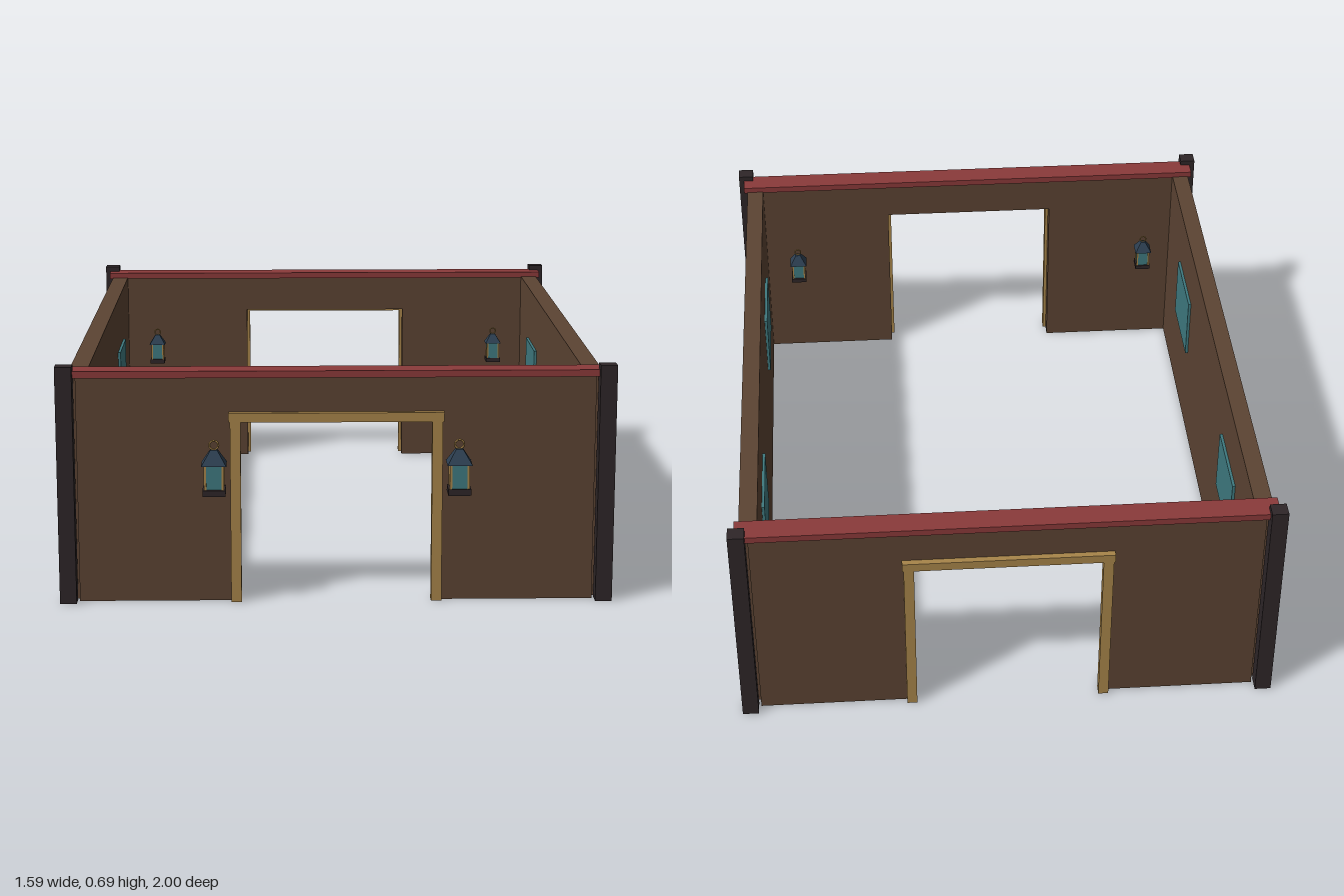
import * as THREE from 'three';

const mat = (name, color, flatShading = false) => {
  const m = new THREE.MeshStandardMaterial({ color, flatShading });
  m.name = name;
  return m;
};

export function createModel() {
  const wood = mat('brown wood', 0x5c4433);
  const dark = mat('dark timber', 0x2e2628);
  const red = mat('red trim', 0x8b3a3a);
  const gold = mat('gold trim', 0xa8854a);
  const glass = mat('teal glass', 0x3f7a80);
  const slate = mat('slate blue', 0x2c3e50, true);

  const root = new THREE.Group();
  root.name = 'walledHall';
  const hall = new THREE.Group();
  hall.name = 'hall';
  hall.position.z = -0.026; // the front lanterns push the walls back a little
  root.add(hall);

  const add = (parent, name, geo, material, x, y, z) => {
    const m = new THREE.Mesh(geo, material);
    m.name = name;
    m.position.set(x, y, z);
    parent.add(m);
    return m;
  };
  const box = (parent, name, material, w, h, d, x, y, z) =>
    add(parent, name, new THREE.BoxGeometry(w, h, d), material, x, y, z);

  const T = 0.053, H = 0.66, WX = 0.74, WZ = 0.917;

  // End wall with a doorway cut up from the floor
  const wallShape = new THREE.Shape();
  [[-WX, 0], [-0.283, 0], [-0.283, 0.54], [0.283, 0.54], [0.283, 0], [WX, 0], [WX, H], [-WX, H]]
    .forEach(([x, y], i) => (i ? wallShape.lineTo(x, y) : wallShape.moveTo(x, y)));
  wallShape.closePath();
  const endGeo = new THREE.ExtrudeGeometry(wallShape, { depth: T, bevelEnabled: false });

  for (const front of [true, false]) {
    const end = new THREE.Group();
    end.name = front ? 'frontEnd' : 'backEnd';
    end.rotation.y = front ? 0 : Math.PI;
    hall.add(end);
    add(end, 'endWall', endGeo, wood, 0, 0, WZ - T / 2);
    box(end, 'capBeam', red, 1.556, 0.02, 0.074, 0, 0.667, WZ);
    // Door frame on the outer face
    for (const s of [-1, 1]) box(end, 'doorJamb', gold, 0.03, 0.53, 0.03, s * 0.288, 0.265, 0.946);
    box(end, 'doorLintel', gold, 0.614, 0.027, 0.032, 0, 0.543, 0.946);
    // Corner posts
    for (const s of [-1, 1]) box(end, 'cornerPost', dark, 0.048, 0.693, 0.046, s * 0.771, 0.3465, 0.951);
  }

  // Side walls with windows and thin gold rails
  for (const s of [-1, 1]) {
    const side = new THREE.Group();
    side.name = s > 0 ? 'leftSide' : 'rightSide';
    hall.add(side);
    box(side, 'sideWall', wood, T, H, WZ * 2, s * WX, H / 2, 0);
    for (const y of [0.118, 0.232, 0.531])
      box(side, 'rail', gold, 0.006, 0.008, 1.804, s * 0.767, y, 0);
    for (const z of [0.482, -0.471]) {
      const win = new THREE.Group();
      win.name = 'window';
      win.position.set(s * WX, 0.385, z);
      side.add(win);
      box(win, 'pane', glass, 0.068, 0.202, 0.256, -s * 0.001, 0, 0);
      for (const k of [-1, 1]) {
        box(win, 'frameRail', dark, 0.015, 0.014, 0.28, s * 0.028, k * 0.105, 0);
        box(win, 'frameStile', dark, 0.015, 0.224, 0.014, s * 0.028, 0, k * 0.133);
      }
    }
  }

  // Square lantern with a pyramid roof and hanging ring, standing on its local origin
  const lantern = (x, y, z, scale) => {
    const g = new THREE.Group();
    g.name = 'lantern';
    g.position.set(x, y, z);
    g.scale.setScalar(scale);
    hall.add(g);
    box(g, 'lanternBase', dark, 0.065, 0.018, 0.065, 0, 0.009, 0);
    box(g, 'lanternGlass', glass, 0.05, 0.075, 0.05, 0, 0.055, 0);
    for (const a of [-1, 1]) for (const b of [-1, 1])
      box(g, 'lanternBar', gold, 0.007, 0.075, 0.007, a * 0.025, 0.055, b * 0.025);
    const roof = new THREE.CylinderGeometry(0.014, 0.0505, 0.042, 4).rotateY(Math.PI / 4);
    add(g, 'lanternRoof', roof, slate, 0, 0.109, 0);
    add(g, 'lanternRing', new THREE.TorusGeometry(0.013, 0.0028, 6, 12), gold, 0, 0.143, 0);
  };
  for (const s of [-1, 1]) {
    lantern(s * 0.348, 0.328, 0.99, 1); // beside the front door
    for (const z of [0.768, -0.774]) lantern(s * 0.603, 0.37, z, 0.77); // inside corners
  }
  return root;
}
